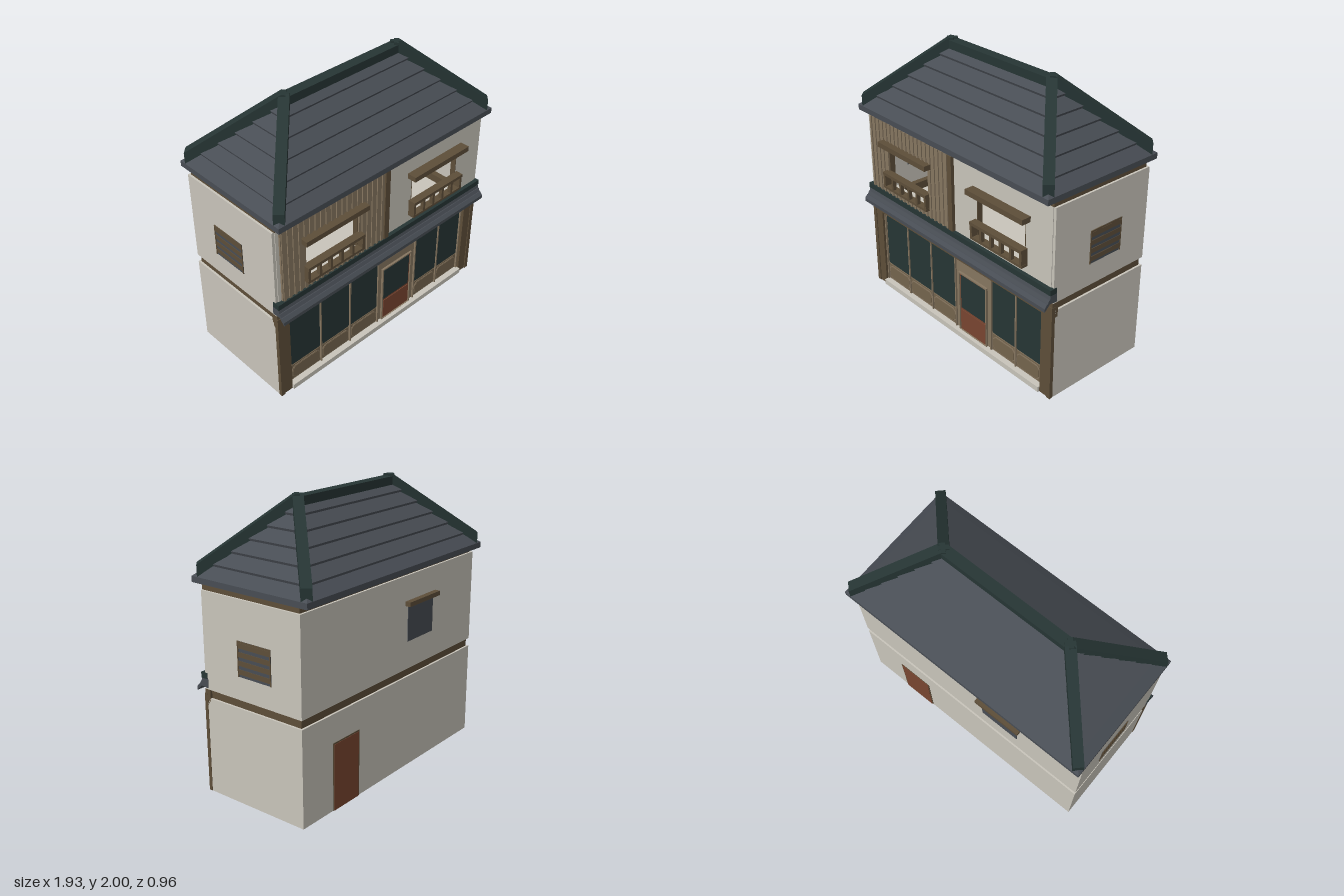
import * as THREE from 'three';

const mat = (name, color) => Object.assign(new THREE.MeshStandardMaterial({ color }), { name });

export function createModel() {
  const plaster = mat('plaster', 0xc8c4ba);
  const darkWood = mat('dark wood', 0x5d4e39);
  const lightWood = mat('light wood', 0x867660);
  const panelWood = mat('panel wood', 0x74644d);
  const redWood = mat('red wood', 0x784530);
  const teal = mat('dark teal', 0x263534);
  const slate = mat('slate', 0x484d54);
  const model = new THREE.Group();
  model.name = 'shopHouse';

  const add = (name, geometry, material) => {
    const mesh = new THREE.Mesh(geometry, material);
    mesh.name = name;
    model.add(mesh);
    return mesh;
  };
  // Box given by its lower and upper limits on each axis
  const box = (name, m, x0, x1, y0, y1, z0, z1) => {
    const mesh = add(name, new THREE.BoxGeometry(x1 - x0, y1 - y0, z1 - z0), m);
    mesh.position.set((x0 + x1) / 2, (y0 + y1) / 2, (z0 + z1) / 2);
    return mesh;
  };
  const rectPath = (P, x0, x1, y0, y1, c = 0) => {
    const p = new P();
    const pts = c
      ? [[x0 + c, y0], [x1 - c, y0], [x1, y0 + c], [x1, y1 - c], [x1 - c, y1], [x0 + c, y1], [x0, y1 - c], [x0, y0 + c]]
      : [[x0, y0], [x1, y0], [x1, y1], [x0, y1]];
    p.setFromPoints(pts.map(([x, y]) => new THREE.Vector2(x, y)));
    return p;
  };
  // Upright slab with cut corners and optional rectangular holes
  const slab = (name, m, [x0, x1, y0, y1], z0, z1, holes = [], cut = 0) => {
    const shape = rectPath(THREE.Shape, x0, x1, y0, y1, cut);
    holes.forEach(h => shape.holes.push(rectPath(THREE.Path, ...h)));
    const mesh = add(name, new THREE.ExtrudeGeometry(shape, { depth: z1 - z0, bevelEnabled: false }), m);
    mesh.position.z = z0;
    return mesh;
  };
  // Four-sided hollow band
  const ring = (name, m, X, y0, y1, z0, z1, t) => {
    for (const s of [-1, 1]) {
      const a = s * X, b = s * (X - t);
      box(name, m, Math.min(a, b), Math.max(a, b), y0, y1, z0, z1);
    }
    box(name, m, -X + t, X - t, y0, y1, z0, z0 + t);
    box(name, m, -X + t, X - t, y0, y1, z1 - t, z1);
  };

  // Lower storey
  box('lowerStorey', plaster, -0.96, 0.96, 0, 0.68, -0.42, 0.365);
  for (const s of [-1, 1]) {
    const cheek = box('sideCheek', plaster, 0.945, 0.96, 0, 0.68, 0.365, 0.39);
    const post = box('cornerPost', darkWood, 0.86, 0.944, 0, 0.71, 0.365, 0.41);
    const postFace = box('cornerPostFace', darkWood, 0.93, 0.962, 0, 0.71, 0.39, 0.417);
    for (const m of [cheek, post, postFace]) m.position.x *= s;
  }
  box('shopBeam', darkWood, -0.96, 0.96, 0.63, 0.74, 0.365, 0.412);
  box('shopSill', plaster, -0.86, 0.86, 0, 0.04, 0.365, 0.425);
  box('shopFront', lightWood, -0.86, 0.86, 0.04, 0.63, 0.365, 0.38);

  // Shop windows with panels below
  for (const [x0, x1] of [[-0.84, -0.58], [-0.565, -0.305], [-0.29, -0.03], [0.367, 0.597], [0.61, 0.84]]) {
    slab('shopWindow', teal, [x0, x1, 0.19, 0.612], 0.38, 0.385, [], 0.008);
    slab('lowerPanel', panelWood, [x0, x1, 0.05, 0.178], 0.38, 0.383);
    slab('panelField', lightWood, [x0 + 0.004, x1 - 0.004, 0.056, 0.168], 0.383, 0.386, [], 0.025);
    slab('panelCentre', panelWood, [x0 + 0.01, x1 - 0.01, 0.062, 0.162], 0.386, 0.389, [], 0.023);
  }
  for (const x of [-0.855, -0.572, -0.297, -0.022, 0.355, 0.603, 0.85])
    box('windowMullion', lightWood, x - 0.005, x + 0.005, 0.04, 0.625, 0.38, 0.393);

  // Front door
  slab('doorSurround', lightWood, [0.017, 0.313, 0.04, 0.52], 0.38, 0.396, [[0.027, 0.303, 0.041, 0.51]]);
  box('doorLeaf', redWood, 0.027, 0.303, 0.04, 0.51, 0.38, 0.386);
  box('doorGlass', teal, 0.037, 0.293, 0.228, 0.498, 0.386, 0.389);
  slab('doorPanel', redWood, [0.037, 0.293, 0.052, 0.212], 0.386, 0.391);

  // Band between the storeys and beam under the eaves
  ring('floorBand', darkWood, 0.945, 0.68, 0.74, -0.405, 0.38, 0.05);
  ring('eavesBeam', darkWood, 0.945, 1.41, 1.45, -0.405, 0.41, 0.05);

  // Upper storey shell
  const openings = [[-0.715, -0.255, 0.91, 1.235], [0.25, 0.71, 0.91, 1.235]];
  for (const s of [-1, 1])
    box('upperSideWall', plaster, 0.94, 0.96, 0.74, 1.41, -0.42, 0.39).position.x *= s;
  box('upperBackWall', plaster, -0.94, 0.94, 0.74, 1.41, -0.42, -0.4);
  slab('upperFrontWall', plaster, [-0.94, 0.94, 0.74, 1.41], 0.37, 0.41, openings);
  for (const s of [-1, 1])
    box('upperFrontEdge', plaster, 0.94, 0.96, 0.74, 1.41, 0.39, 0.405).position.x *= s;

  // Boarded half of the front with battens
  slab('boardWall', lightWood, [-0.915, -0.025, 0.85, 1.41], 0.41, 0.424, [openings[0]]);
  for (let i = 0; i < 20; i++) {
    const x = -0.9 + i * 0.045;
    const spans = x > -0.73 && x < -0.24 ? [[0.85, 0.908], [1.237, 1.41]] : [[0.85, 1.41]];
    for (const [a, b] of spans) box('batten', lightWood, x - 0.009, x + 0.009, a, b, 0.424, 0.432);
  }
  box('centrePost', darkWood, -0.025, 0.017, 0.85, 1.41, 0.41, 0.435);

  // Upper windows: lining, hood and railing
  for (const [x0, x1] of openings) {
    for (const x of [x0, x1 - 0.004]) box('windowLining', darkWood, x, x + 0.004, 0.91, 1.235, 0.37, 0.412);
    box('windowHood', darkWood, x0 - 0.04, x1 + 0.04, 1.23, 1.268, 0.405, 0.48);
    const l = x0 - 0.018, r = x1 + 0.018;
    box('railTop', darkWood, l, r, 1.012, 1.035, 0.41, 0.466);
    box('railBottom', darkWood, l, r, 0.907, 0.925, 0.41, 0.462);
    for (let i = 0; i < 6; i++) {
      const x = l + 0.011 + (r - l - 0.022) * i / 5;
      box('baluster', darkWood, x - 0.01, x + 0.01, 0.925, 1.012, i % 5 ? 0.435 : 0.41, 0.462);
    }
  }

  // Slatted window on each side
  for (const s of [-1, 1]) {
    const parts = [
      box('sideGlass', slate, 0.935, 0.962, 0.9, 1.14, -0.18, 0.1),
      box('sideFrame', darkWood, 0.96, 0.966, 0.9, 1.14, -0.18, -0.172),
      box('sideFrame', darkWood, 0.96, 0.966, 0.9, 1.14, 0.092, 0.1),
      box('sideFrame', darkWood, 0.96, 0.966, 1.128, 1.14, -0.172, 0.092),
    ];
    for (let i = 0; i < 4; i++)
      parts.push(box('slat', darkWood, 0.96, 0.965, 0.918 + i * 0.058, 0.952 + i * 0.058, -0.172, 0.092));
    parts.forEach(p => { p.position.x *= s; });
  }

  // Back door and back window
  box('backDoorFrame', darkWood, 0.395, 0.665, 0, 0.48, -0.423, -0.42);
  box('backDoor', redWood, 0.405, 0.655, 0, 0.47, -0.426, -0.422);
  box('backWindow', slate, -0.44, -0.14, 0.94, 1.2, -0.424, -0.396);
  box('backWindowHood', darkWood, -0.47, -0.11, 1.2, 1.232, -0.46, -0.42);

  // Pent roof over the shop front
  const pent = new THREE.Shape([
    [0.38, 0.75], [0.38, 0.82], [0.432, 0.82], [0.44, 0.785], [0.446, 0.785], [0.458, 0.762],
    [0.464, 0.762], [0.484, 0.738], [0.484, 0.712], [0.44, 0.755],
  ].map(([z, y]) => new THREE.Vector2(-z, y)));
  const pentRoof = add('pentRoof', new THREE.ExtrudeGeometry(pent, { depth: 1.928, bevelEnabled: false }), slate);
  pentRoof.rotation.y = Math.PI / 2;
  pentRoof.position.x = -0.964;
  box('pentRidge', teal, -0.965, 0.965, 0.812, 0.852, 0.385, 0.438);

  // Hipped main roof: rows of tiles, each ending in a small lip
  const rings = [[0, 1.45], [0, 1.49]];
  for (let k = 0; k < 6; k++) {
    rings.push([0.08 * (k + 1), 1.554 + 0.08 * k]);
    if (k < 5) rings.push([0.08 * (k + 1) - 0.006, 1.57 + 0.08 * k]);
  }
  const corners = ([i, y]) => [[1, 1], [1, -1], [-1, -1], [-1, 1]].map(([a, b]) => [a * (0.965 - i), y, b * (0.48 - i)]);
  const verts = [];
  for (let r = 0; r + 1 < rings.length; r++) {
    const lo = corners(rings[r]), hi = corners(rings[r + 1]);
    for (let c = 0; c < 4; c++) {
      const d = (c + 1) % 4;
      verts.push(...lo[c], ...lo[d], ...hi[d], ...lo[c], ...hi[d], ...hi[c]);
    }
  }
  const roofGeometry = new THREE.BufferGeometry();
  roofGeometry.setAttribute('position', new THREE.Float32BufferAttribute(verts, 3));
  roofGeometry.computeVertexNormals();
  add('mainRoof', roofGeometry, slate);
  box('soffit', darkWood, -0.963, 0.963, 1.449, 1.455, -0.478, 0.478);

  // Ridge and hip caps
  box('ridgeCap', teal, -0.485, 0.485, 1.925, 1.985, -0.038, 0.038);
  const hip = new THREE.Shape([[0.035, 1.49], [0.035, 1.57], [0.66, 2], [0.69, 2], [0.69, 1.92]]
    .map(([x, y]) => new THREE.Vector2(x, y)));
  const hipGeometry = new THREE.ExtrudeGeometry(hip, { depth: 0.07, bevelEnabled: false }).translate(0, 0, -0.035);
  for (const sx of [-1, 1]) for (const sz of [-1, 1]) {
    const cap = add('hipCap', hipGeometry, teal);
    cap.position.set(sx * 0.965, 0, sz * 0.48);
    cap.rotation.y = Math.atan2(sz, -sx);
  }
  return model;
}
